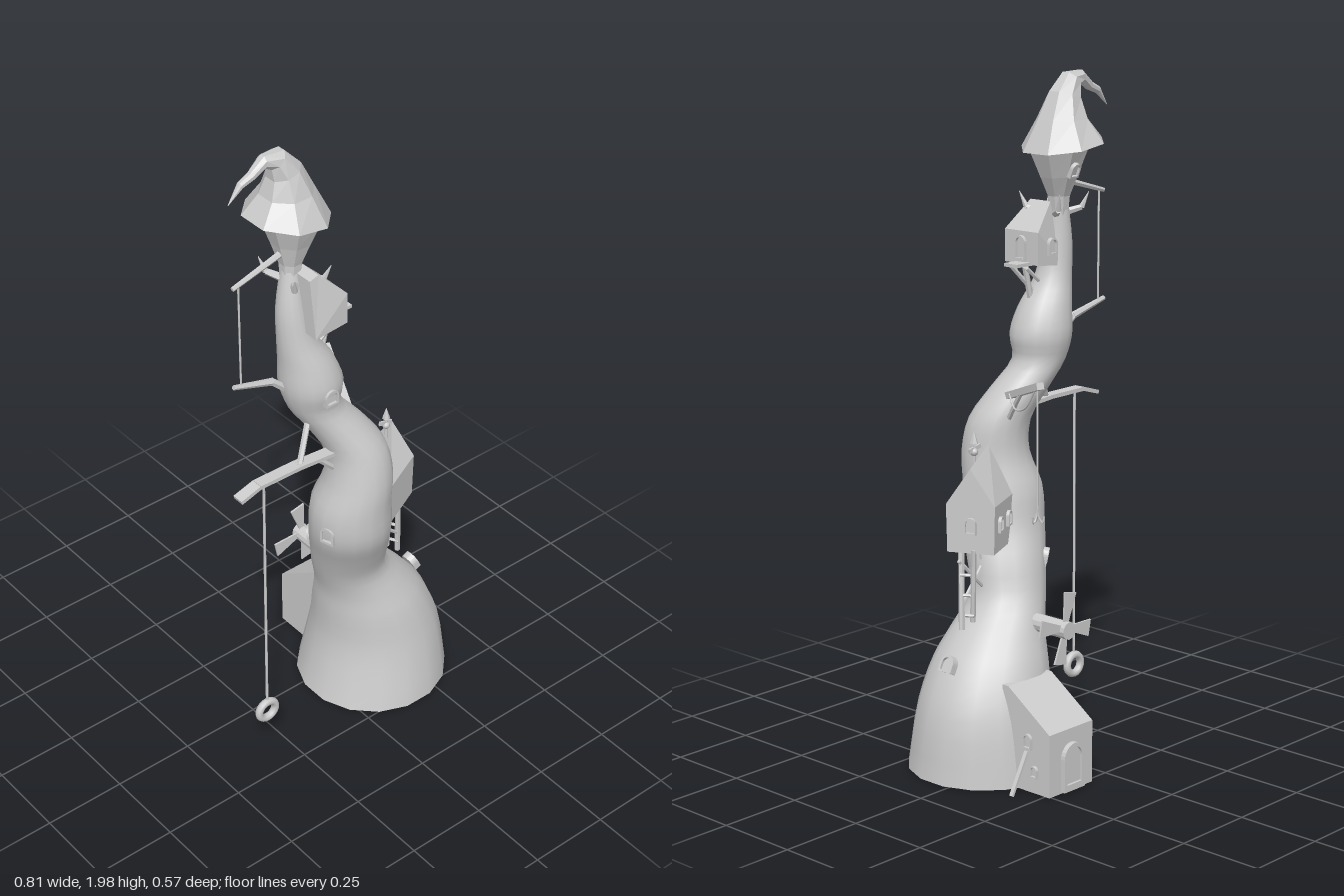
import * as THREE from 'three';

const mat = new THREE.MeshStandardMaterial({ color: 0xcccccc, side: THREE.DoubleSide });
const flat = new THREE.MeshStandardMaterial({ color: 0xcccccc, side: THREE.DoubleSide, flatShading: true });
const V = (p) => new THREE.Vector3(...p);

export function createModel() {
  const root = new THREE.Group();
  const add = (name, geo, m = flat) => {
    const mesh = new THREE.Mesh(geo, m);
    mesh.name = name;
    root.add(mesh);
    return mesh;
  };

  // Skin over rings given as [x, y, z, radius, tilt]
  const loft = (name, rows, n, m) => {
    const pos = [], idx = [];
    rows.forEach(([x, y, z, r, t = 0], j) => {
      for (let i = 0; i < n; i++) {
        const a = (i / n) * Math.PI * 2 + Math.PI / n;
        const c = Math.cos(a) * r;
        pos.push(x + c * Math.cos(t), y + c * Math.sin(t), z + Math.sin(a) * r);
        if (j === rows.length - 1) continue;
        const k = j * n + i, l = j * n + (i + 1) % n;
        idx.push(k, k + n, l, l, k + n, l + n);
      }
    });
    const g = new THREE.BufferGeometry();
    g.setAttribute('position', new THREE.Float32BufferAttribute(pos, 3));
    g.setIndex(idx);
    g.computeVertexNormals();
    return add(name, g, m);
  };

  // Round stick between two points
  const rod = (name, a, b, r, r2 = r, sides = 6) => {
    const A = V(a), B = V(b), d = B.clone().sub(A);
    const mesh = add(name, new THREE.CylinderGeometry(r2, r, d.length(), sides));
    mesh.position.copy(A).add(B).multiplyScalar(0.5);
    mesh.quaternion.setFromUnitVectors(new THREE.Vector3(0, 1, 0), d.normalize());
    return mesh;
  };

  // Flat plank between two points
  const plank = (name, a, b, w, t) => {
    const A = V(a), B = V(b);
    const mesh = add(name, new THREE.BoxGeometry(w, t, A.distanceTo(B)));
    mesh.position.copy(A).add(B).multiplyScalar(0.5);
    mesh.lookAt(B);
    return mesh;
  };

  const curve = (name, pts, r) =>
    add(name, new THREE.TubeGeometry(new THREE.CatmullRomCurve3(pts.map(V)), 16, r, 6), mat);

  // Profile extruded along its z, centred
  const prism = (name, pts, depth, rule) => {
    const g = new THREE.ExtrudeGeometry(new THREE.Shape(pts.map((p) => new THREE.Vector2(...p))),
      { depth, bevelEnabled: false });
    g.translate(0, 0, -depth / 2);
    const p = g.attributes.position;
    if (rule) for (let i = 0; i < p.count; i++) p.setXYZ(i, ...rule(p.getX(i), p.getY(i), p.getZ(i)));
    g.computeVertexNormals();
    return add(name, g);
  };

  // Arched door or window with frame, facing a direction
  const arch = (name, at, dir, w, h) => {
    const outline = (s, Type) => {
      const o = new Type(), r = (w / 2) * s, y = h / 2 - w / 2;
      o.moveTo(-r, (-h / 2) * s);
      o.lineTo(r, (-h / 2) * s);
      o.absarc(0, y, r, 0, Math.PI, false);
      o.closePath();
      return o;
    };
    const frame = outline(1, THREE.Shape);
    frame.holes.push(outline(0.72, THREE.Path));
    const grp = new THREE.Group();
    grp.name = name;
    [[frame, 0.022], [outline(0.75, THREE.Shape), 0.014]].forEach(([s, depth], i) => {
      const g = new THREE.ExtrudeGeometry(s, { depth, bevelEnabled: false, curveSegments: 6 });
      g.translate(0, 0, -0.012);
      const m = new THREE.Mesh(g, flat);
      m.name = i ? 'panel' : 'frame';
      grp.add(m);
    });
    grp.position.set(...at);
    grp.lookAt(V(at).add(V(dir)));
    root.add(grp);
  };

  // Winding hollow trunk
  const keys = [
    [0.17, 0.01, 0.06, 0.232], [0.18, 0.2, 0.055, 0.198], [0.15, 0.33, 0.06, 0.168],
    [0.115, 0.41, 0.065, 0.138], [0.063, 0.5, 0.075, 0.112], [0.038, 0.6, 0.105, 0.117],
    [0.012, 0.7, 0.14, 0.122], [0.005, 0.8, 0.15, 0.118], [0.018, 0.9, 0.165, 0.101],
    [0.014, 1.0, 0.152, 0.091], [-0.035, 1.09, 0.118, 0.084], [-0.09, 1.17, 0.094, 0.078],
    [-0.097, 1.24, 0.093, 0.092], [-0.112, 1.32, 0.09, 0.079], [-0.14, 1.4, 0.085, 0.056],
    [-0.152, 1.5, 0.078, 0.044], [-0.146, 1.63, 0.066, 0.026]];
  const path = new THREE.CatmullRomCurve3(keys.map(V));
  const radius = new THREE.CatmullRomCurve3(keys.map((k) => new THREE.Vector3(k[3], 0, k[1])));
  const rings = [];
  for (let i = 0; i <= 48; i++) {
    const p = path.getPoint(i / 48);
    rings.push([p.x, p.y, p.z, radius.getPoint(i / 48).x]);
  }
  loft('trunk', rings, 16, mat);

  // Turret and curled pointed roof
  loft('turret', [[-0.146, 1.58, 0.068, 0.028], [-0.143, 1.64, 0.065, 0.034], [-0.138, 1.7, 0.06, 0.058, -0.08],
    [-0.137, 1.79, 0.058, 0.095, -0.15]], 8, flat);
  loft('curledRoof', [[-0.14, 1.79, 0.057, 0.088, -0.15], [-0.15, 1.785, 0.057, 0.125, -0.15],
    [-0.148, 1.86, 0.056, 0.077, 0], [-0.158, 1.925, 0.056, 0.05, 0.3], [-0.184, 1.968, 0.056, 0.033, 0.8],
    [-0.225, 1.974, 0.056, 0.02, 1.6], [-0.263, 1.945, 0.056, 0.014, 2.2], [-0.3, 1.93, 0.056, 0.011, 2],
    [-0.34, 1.885, 0.056, 0.001, 2.3]], 8, flat);
  arch('turretWindow', [-0.13, 1.72, -0.005], [0, -0.4, -1], 0.035, 0.045);

  // Thorns around the neck
  for (const [sx, sz] of [[-1, 1], [1, 1], [-1, -1], [1, -1]]) {
    const at = (o, y) => [-0.145 + sx * o * 0.8, y, 0.085 + sz * o];
    rod('thornBase', at(0.025, 1.59), at(0.062, 1.605), 0.012, 0.009);
    rod('thornTip', at(0.062, 1.605), at(0.078, 1.65), 0.009, 0.001);
  }

  // Ground house with lean-to roof, door and windows
  const hut = prism('groundHouse', [[0.09, 0.01], [0.27, 0.01], [0.27, 0.195], [0.112, 0.305], [0.09, 0.305]], 0.18);
  hut.rotation.y = Math.PI / 2;
  hut.position.x = 0.17;
  arch('groundDoor', [0.17, 0.085, -0.275], [0, 0, -1], 0.085, 0.14);
  arch('groundWindow', [0.26, 0.16, -0.19], [1, 0, 0], 0.03, 0.045);
  arch('groundWindow', [0.26, 0.075, -0.215], [1, 0, 0], 0.025, 0.035);
  plank('leaningBoard', [0.255, 0.13, -0.18], [0.32, 0.01, -0.18], 0.012, 0.008);

  // Windmill
  rod('windmillHub', [0.075, 0.438, -0.03], [0.075, 0.438, -0.177], 0.026, 0.026, 12);
  for (let i = 0; i < 4; i++) {
    const blade = prism('windmillBlade', [[-0.008, 0.015], [0.008, 0.015], [0.025, 0.105], [-0.025, 0.105]], 0.006);
    blade.position.set(0.075, 0.442, -0.16);
    blade.rotation.z = (i * Math.PI) / 2 + 0.2;
  }

  // Middle gabled house on stilts, ridge falling outwards
  const mid = prism('middleHouse', [[-0.07, 0.66], [0.07, 0.66], [0.073, 0.8], [0, 0.925], [-0.073, 0.8]], 0.17,
    (x, y, z) => [x, y > 0.9 ? y - z * 0.22 : y, z]);
  mid.rotation.y = 2.02;
  mid.position.set(0.17, 0, 0.083);
  for (const s of [-0.035, 0.04])
    arch('middleWindow', [0.138 + s * 0.9, 0.74, 0.019 - s * 0.43], [-0.43, 0, -0.9], 0.03, 0.045);
  arch('middleWindow', [0.247, 0.74, 0.045], [0.9, 0, -0.43], 0.035, 0.05);
  rod('vanePole', [0.19, 0.88, 0.085], [0.19, 0.98, 0.085], 0.005);
  rod('vaneTip', [0.19, 0.965, 0.085], [0.19, 1.0, 0.085], 0.012, 0.001);
  plank('vaneArrow', [0.165, 0.955, 0.085], [0.21, 0.945, 0.085], 0.006, 0.012);
  add('vaneBall', new THREE.SphereGeometry(0.012, 8, 6), mat).position.set(0.19, 0.94, 0.085);
  rod('stilt', [0.235, 0.67, 0.095], [0.255, 0.43, 0.075], 0.009);
  rod('stilt', [0.24, 0.67, 0.04], [0.225, 0.45, 0.06], 0.008);
  rod('stilt', [0.15, 0.67, 0.11], [0.13, 0.5, 0.08], 0.008);
  rod('stiltBrace', [0.14, 0.52, 0.085], [0.25, 0.63, 0.09], 0.006);
  rod('stiltBrace', [0.14, 0.6, 0.1], [0.25, 0.5, 0.08], 0.006);
  for (const y of [0.47, 0.53, 0.59]) rod('stiltRung', [0.25, y, 0.085], [0.23, y, 0.05], 0.005);

  // Upper house with lean-to roof, balcony and struts
  prism('upperHouse', [[-0.145, 1.44], [-0.035, 1.45], [-0.035, 1.545], [-0.115, 1.625], [-0.145, 1.615]], 0.13,
    (x, y, z) => [x, y, 0.11 + z * (y > 1.6 ? 0.6 : 1)]);
  arch('upperWindow', [-0.09, 1.5, 0.045], [0, 0, -1], 0.035, 0.05);
  arch('upperDoor', [-0.035, 1.495, 0.11], [1, 0, 0], 0.04, 0.075);
  plank('balcony', [-0.06, 1.452, 0.1], [0.022, 1.452, 0.1], 0.05, 0.01);
  rod('balconyStrut', [0.005, 1.45, 0.115], [-0.08, 1.36, 0.1], 0.007);
  rod('balconyStrut', [-0.04, 1.44, 0.1], [-0.07, 1.31, 0.1], 0.009);
  rod('balconyStrut', [-0.03, 1.44, 0.085], [-0.075, 1.4, 0.08], 0.006);

  // Doors and windows set in the trunk
  arch('trunkWindow', [-0.097, 1.23, 0.18], [0, 0, 1], 0.045, 0.05);
  arch('trunkWindow', [0.322, 0.345, 0.063], [1, 0.5, 0], 0.05, 0.05);
  arch('trunkWindow', [-0.103, 0.74, 0.18], [-1, 0, 0.3], 0.045, 0.055);
  arch('trunkWindow', [-0.03, 0.6, 0.015], [-0.6, -0.2, -0.8], 0.045, 0.055);

  // Paired branches with a line between them
  rod('upperBranch', [-0.16, 1.685, 0.07], [-0.345, 1.635, 0.072], 0.01, 0.007);
  rod('lowerBranch', [-0.15, 1.22, 0.085], [-0.22, 1.28, 0.075], 0.014, 0.011);
  rod('lowerBranch', [-0.215, 1.278, 0.075], [-0.347, 1.315, 0.07], 0.011, 0.007);
  rod('branchLine', [-0.325, 1.635, 0.072], [-0.322, 1.31, 0.071], 0.003);

  // Long curved plank with hanging ring swing
  const arc = [[-0.05, 1.015, 0.158], [-0.2, 1.028, 0.158], [-0.34, 1.03, 0.158], [-0.407, 1.01, 0.158]];
  for (let i = 0; i < 3; i++) plank('swingPlank', arc[i], arc[i + 1], 0.036, 0.012);
  rod('plankBrace', [-0.19, 1.025, 0.158], [-0.11, 1.17, 0.11], 0.009);
  rod('plankBrace', [-0.13, 1.02, 0.158], [-0.06, 0.95, 0.16], 0.009);
  rod('swingRope', [-0.317, 1.03, 0.158], [-0.317, 0.205, 0.158], 0.004);
  add('swingRing', new THREE.TorusGeometry(0.03, 0.012, 8, 20), mat).position.set(-0.317, 0.167, 0.158);

  // Hoist beam with rope and hook
  plank('hoistBeam', [0.03, 1.07, 0.115], [0.122, 1.148, -0.108], 0.022, 0.02);
  rod('hoistBrace', [0.05, 1.0, 0.09], [0.072, 1.1, 0.015], 0.008);
  rod('hoistRope', [0.115, 1.14, -0.09], [0.115, 0.79, -0.09], 0.003);
  curve('slackRope', [[0.06, 1.09, 0.07], [0.08, 1.055, 0.03], [0.1, 1.07, -0.03], [0.117, 1.14, -0.088]], 0.003);
  for (let i = 0; i < 3; i++) {
    const c = Math.cos(i * 2.1) * 0.015, s = Math.sin(i * 2.1) * 0.015;
    curve('hook', [[0.115, 0.8, -0.09], [0.115 + c * 0.3, 0.765, -0.09 + s * 0.3],
      [0.115 + c, 0.75, -0.09 + s], [0.115 + c * 1.3, 0.768, -0.09 + s * 1.3]], 0.003);
  }

  return root;
}
